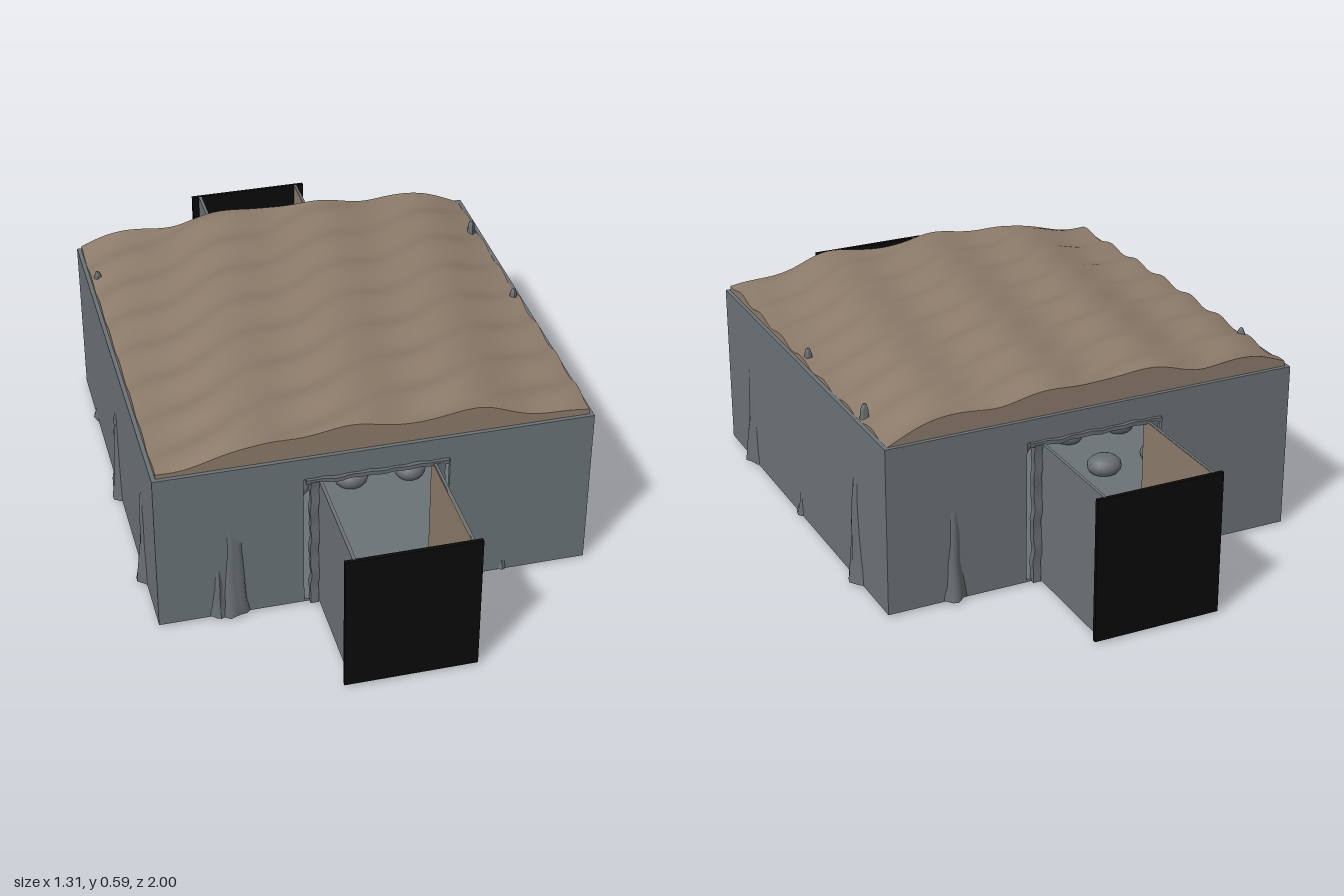
import * as THREE from 'three';
import { toCreasedNormals } from 'three/addons/utils/BufferGeometryUtils.js';

const mat = (name, color, side = THREE.FrontSide) => {
  const m = new THREE.MeshStandardMaterial({ color, side });
  m.name = name;
  return m;
};

export function createModel() {
  const stone = mat('stone grey', 0x6b7376);
  const rock = mat('rock grey', 0x666d70);
  const sand = mat('sand brown', 0x8c7b6a);
  const sandOpen = mat('roof sand brown', 0x8c7b6a, THREE.DoubleSide);
  const black = mat('black', 0x0a0a0a);
  const group = new THREE.Group();

  const add = (name, geo, material, x = 0, y = 0, z = 0, parent = group) => {
    const mesh = new THREE.Mesh(geo, material);
    mesh.name = name;
    mesh.position.set(x, y, z);
    parent.add(mesh);
    return mesh;
  };
  // box given by its lower and upper corners
  const slab = (name, material, a, b, parent) => add(name,
    new THREE.BoxGeometry(b[0] - a[0], b[1] - a[1], b[2] - a[2]), material,
    (a[0] + b[0]) / 2, (a[1] + b[1]) / 2, (a[2] + b[2]) / 2, parent);

  // room floor and side walls
  const R = 0.63, H = 0.51, Y0 = 0.01;
  slab('roomFloor', stone, [-R, Y0, -R], [R, 0.018, R]);
  for (const s of [-1, 1]) {
    const x0 = s > 0 ? R - 0.012 : -R;
    slab('sideWall', stone, [x0, Y0, -R], [x0 + 0.012, H, R]);
  }

  // end wall with a doorway notch
  const wall = new THREE.Shape([[-R, Y0], [-0.21, Y0], [-0.21, 0.44], [0.21, 0.44],
    [0.21, Y0], [R, Y0], [R, H], [-R, H]].map(p => new THREE.Vector2(...p)));
  const wallGeo = new THREE.ExtrudeGeometry(wall, { depth: 0.012, bevelEnabled: false });

  // rough post: box whose outer faces wander a little
  const roughBox = (w, h, d) => {
    const g = new THREE.BoxGeometry(w, h, d, 1, 24, 1);
    const p = g.attributes.position;
    for (let i = 0; i < p.count; i++) {
      const k = p.getY(i) * 70;
      p.setX(i, p.getX(i) + 0.003 * Math.sin(k) * Math.cos(k * 0.37));
      p.setZ(i, p.getZ(i) + 0.002 * Math.sin(k * 0.8 + 1));
    }
    g.computeVertexNormals();
    return toCreasedNormals(g, 0.7);
  };

  // bare patches in the passage sand: x, z, radius x, radius z
  const patches = [[-0.07, 0.94, 0.035, 0.05], [0.07, 0.955, 0.03, 0.035], [0.13, 0.97, 0.018, 0.02],
    [0.145, 0.87, 0.02, 0.04], [-0.12, 0.66, 0.03, 0.015], [0.02, 0.675, 0.014, 0.02], [0.13, 0.66, 0.03, 0.018]];

  // end wall, door frame and open-topped passage, turned for both ends
  for (const [name, turn] of [['frontPassage', 0], ['backPassage', Math.PI]]) {
    const end = new THREE.Group();
    end.name = name;
    end.rotation.y = turn;
    group.add(end);
    add('endWall', wallGeo, stone, 0, 0, R - 0.012, end);
    slab('passageFloor', stone, [-0.168, Y0, R - 0.01], [0.168, 0.018, 0.99], end);
    slab('passageSand', sand, [-0.158, 0.018, R - 0.01], [0.158, 0.022, 0.99], end);
    for (const s of [-1, 1]) {
      const outer = slab('passageWall', stone, [-0.004, Y0, R - 0.01], [0.004, 0.435, 0.99], end);
      outer.position.x = s * 0.164;
      const inner = slab('passageLining', sand, [-0.001, 0.018, R - 0.01], [0.001, 0.434, 0.99], end);
      inner.position.x = s * 0.159;
      add('doorPost', roughBox(0.024, 0.425, 0.022), rock, s * 0.181, 0.2225, R, end);
    }
    const lintel = add('doorLintel', roughBox(0.012, 0.41, 0.022), rock, 0, 0.436, R, end);
    lintel.rotation.z = Math.PI / 2;
    slab('passageEnd', black, [-0.19, Y0, 0.988], [0.19, 0.435, 1], end);
    for (const [x, z, rx, rz] of patches) {
      const g = new THREE.CircleGeometry(1, 16).rotateX(-Math.PI / 2).scale(rx, 1, rz);
      add('barePatch', g, stone, x, 0.0228, z, end);
    }
  }

  // domed, rippled roof whose outermost ring folds down to the walls
  const N = 96, E = 0.618;
  const roof = new THREE.PlaneGeometry(2, 2, N, N).rotateX(-Math.PI / 2);
  const pos = roof.attributes.position;
  const inset = 1 - 2 / N;
  for (let i = 0; i < pos.count; i++) {
    const px = pos.getX(i), pz = pos.getZ(i);
    const rim = Math.max(Math.abs(px), Math.abs(pz)) > 0.999;
    const x = E * THREE.MathUtils.clamp(px / inset, -1, 1);
    const z = E * THREE.MathUtils.clamp(pz / inset, -1, 1);
    const dome = 0.522 + 0.06 * (1 - Math.pow(Math.abs(x) / E, 2.4));
    const slant = z + 0.35 * x + 0.012 * Math.sin(19 * x);
    const ripple = 0.009 * Math.sin(19 * x + 0.6 + 3 * z) + 0.007 * Math.sin(37 * slant);
    pos.setXYZ(i, x, rim ? 0.5 : Math.max(0.508, dome + ripple), z);
  }
  roof.computeVertexNormals();
  add('roof', toCreasedNormals(roof, 0.9), sandOpen);

  // ribbed stalagmite: tapered lathe with a wandering radius
  const spike = (h, r, seed) => {
    const pts = [[1, 0], [0.9, 0.12], [0.72, 0.35], [0.66, 0.6], [0.58, 0.8], [0.35, 0.94], [0, 1]]
      .map(([a, b]) => new THREE.Vector2(a * r, b * h));
    const g = new THREE.LatheGeometry(pts, 18);
    const p = g.attributes.position;
    for (let i = 0; i < p.count; i++) {
      const x = p.getX(i), z = p.getZ(i), a = Math.atan2(z, x);
      const k = 1 + 0.1 * Math.sin(a * 5 + seed) + 0.08 * Math.sin(a * 3 + p.getY(i) * 40 + seed * 2);
      p.setX(i, x * k);
      p.setZ(i, z * k);
    }
    g.computeVertexNormals();
    return g;
  };
  // x, z, height, radius
  const spikes = [[0.605, 0.43, 0.37, 0.046], [0.605, -0.41, 0.38, 0.05], [0.607, 0.03, 0.12, 0.034],
    [-0.605, 0.42, 0.37, 0.046], [-0.605, 0, 0.36, 0.05], [-0.605, -0.41, 0.12, 0.034],
    [-0.41, 0.605, 0.35, 0.048], [-0.455, 0.607, 0.19, 0.04], [0.38, 0.61, 0.09, 0.025],
    [0.43, -0.608, 0.33, 0.042], [-0.36, -0.61, 0.1, 0.028]];
  spikes.forEach(([x, z, h, r], i) => add('stalagmite', spike(h, r, i * 1.7), rock, x, 0.012, z));

  // tips of hanging rock showing through the roof edge
  for (const [x, z] of [[0.6, 0], [0.6, -0.42], [-0.6, -0.41]])
    add('rockTip', spike(0.09, 0.018, x + z), rock, x, 0.465, z);

  // two rows of rounded stones bedded through the floor
  for (let i = 0; i < 6; i++) for (const s of [-1, 1]) {
    const g = new THREE.SphereGeometry(1, 14, 10).scale(0.055, 0.036, 0.05);
    const stoneMesh = add('floorStone', g, rock, -0.495 + i * 0.186, 0.04, s * 0.125);
    stoneMesh.rotation.y = i * 0.8 + s;
  }
  return group;
}
